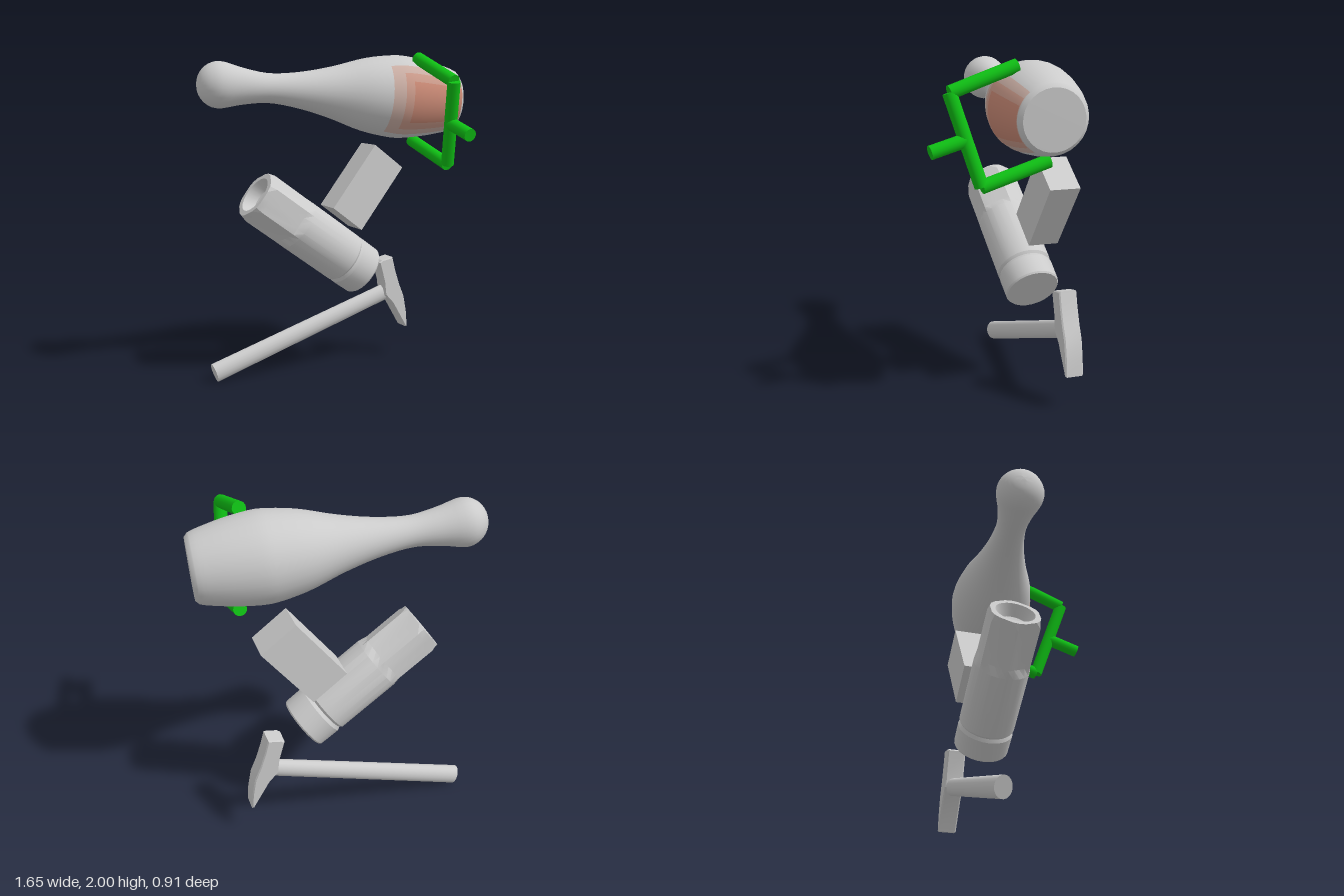
import * as THREE from 'three';
import { toCreasedNormals } from 'three/addons/utils/BufferGeometryUtils.js';

const UP = new THREE.Vector3(0, 1, 0);
const V = (x, y, z) => new THREE.Vector3(x, y, z);
const material = (color = 0xcccccc) => new THREE.MeshStandardMaterial({ color });
const vec2 = (list) => list.map(([r, y]) => new THREE.Vector2(r, y));

function part(name, geometry, mat) {
  const mesh = new THREE.Mesh(geometry, mat);
  mesh.name = name;
  return mesh;
}

// Cylinder running between two points
function rod(name, a, b, r0, r1, mat, sides = 16) {
  const dir = b.clone().sub(a);
  const mesh = part(name, new THREE.CylinderGeometry(r1, r0, dir.length(), sides), mat);
  mesh.position.copy(a).lerp(b, 0.5);
  mesh.quaternion.setFromUnitVectors(UP, dir.normalize());
  return mesh;
}

// Bowling pin lying on its side, with a reddish patch on the front of its belly
function createPin(grey) {
  const pin = new THREE.Group();
  pin.name = 'bowlingPin';
  const side = new THREE.SplineCurve(vec2([
    [0, -0.137], [0.065, -0.12], [0.115, -0.075], [0.137, 0], [0.107, 0.14], [0.088, 0.3],
    [0.11, 0.49], [0.157, 0.69], [0.22, 0.89], [0.25, 1.05], [0.254, 1.15],
    [0.235, 1.3], [0.205, 1.44], [0.19, 1.485],
  ])).getPoints(45);
  side[0].x = 0;
  const profile = [...side, ...vec2([[0.17, 1.503], [0, 1.505]])];
  pin.add(part('pinBody', toCreasedNormals(new THREE.LatheGeometry(profile, 28), 0.6), grey));

  // Patch layers, each smaller and redder than the one below
  const layers = [[0.98, 0.95, 0xccb0a6], [1.05, 0.72, 0xcc9c8c], [1.12, 0.5, 0xca8a76]];
  layers.forEach(([start, half, color], i) => {
    const strip = side.filter((p) => p.y > start && p.y < 1.48)
      .map((p) => new THREE.Vector2(p.x + 0.002 * (i + 1), p.y));
    pin.add(part('pinPatch', new THREE.LatheGeometry(strip, 12, -half, 2 * half), material(color)));
  });
  pin.position.set(-0.69, 1.82, -0.32);
  pin.quaternion.setFromUnitVectors(UP, V(1.48, -0.11, 0.17).normalize());
  return pin;
}

// Two-fingered gripper made of four rods
function createGripper() {
  const green = material(0x0fbf14);
  const gripper = new THREE.Group();
  gripper.name = 'gripper';
  const top = V(0.507, 1.84, 0.323);
  const bottom = V(0.572, 1.342, 0.167);
  const middle = top.clone().lerp(bottom, 0.5);
  gripper.add(
    rod('crossbar', top, bottom, 0.039, 0.039, green),
    rod('upperFinger', top, V(0.495, 1.972, -0.06), 0.039, 0.039, green),
    rod('lowerFinger', bottom, V(0.558, 1.46, -0.228), 0.039, 0.039, green),
    rod('stem', middle, V(0.545, 1.535, 0.443), 0.039, 0.039, green),
  );
  return gripper;
}

// Stout cylinder with a hollow six-sided end and a grooved cap
function createSocket(grey) {
  const profile = vec2([
    [0, 0.09], [0.085, 0.07], [0.115, 0], [0.15, 0], [0.163, 0.045], [0.163, 0.29],
    [0.164, 0.34], [0.164, 0.73], [0.152, 0.745], [0.164, 0.765], [0.162, 0.89], [0.155, 0.9], [0, 0.9],
  ]);
  const geometry = new THREE.LatheGeometry(profile, 24);
  const p = geometry.attributes.position;
  for (let i = 0; i < p.count; i++) {
    const r = Math.hypot(p.getX(i), p.getZ(i));
    if (p.getY(i) > 0.3 || r === 0) continue;
    // Trim the end to flat sides, one facing the front
    const step = Math.PI / 3;
    const a = Math.atan2(p.getX(i), p.getZ(i));
    const off = a - Math.round(a / step) * step;
    const k = Math.min(1, 0.142 / Math.cos(off) / r);
    p.setX(i, p.getX(i) * k);
    p.setZ(i, p.getZ(i) * k);
  }
  const mesh = part('socket', toCreasedNormals(geometry, 0.4), grey);
  mesh.position.set(-0.495, 1.17, -0.283);
  mesh.rotation.z = THREE.MathUtils.degToRad(-126.3);
  return mesh;
}

// Hammer with an oval handle and a wedge-ended head
function createHammer(grey) {
  const hammer = new THREE.Group();
  hammer.name = 'hammer';
  const handle = rod('handle', V(-0.73, 0.065, -0.402), V(0.49, 0.462, -0.395), 0.06, 0.053, grey, 18);
  handle.scale.z = 0.78;
  const outline = new THREE.Shape(vec2([
    [0.39, 0.66], [0.425, 0.53], [0.435, 0.44], [0.49, 0.38], [0.588, 0.21], [0.602, 0.21],
    [0.595, 0.31], [0.575, 0.42], [0.54, 0.505], [0.51, 0.6], [0.488, 0.69], [0.41, 0.675],
  ]));
  const head = part('hammerHead', toCreasedNormals(new THREE.ExtrudeGeometry(outline, {
    depth: 0.094, bevelThickness: 0.008, bevelSize: 0.006, bevelOffset: -0.006, bevelSegments: 1,
  }), 0.4), grey);
  head.position.z = -0.437;
  hammer.add(handle, head);
  return hammer;
}

export function createModel() {
  const model = new THREE.Group();
  model.name = 'toolsAndPin';
  const grey = material();

  const block = part('block', new THREE.BoxGeometry(0.249, 0.482, 0.185), grey);
  block.position.set(0.264, 1.17, -0.353);
  block.rotation.z = THREE.MathUtils.degToRad(-37.5);

  model.add(createPin(grey), createGripper(), block, createSocket(grey), createHammer(grey));
  return model;
}
